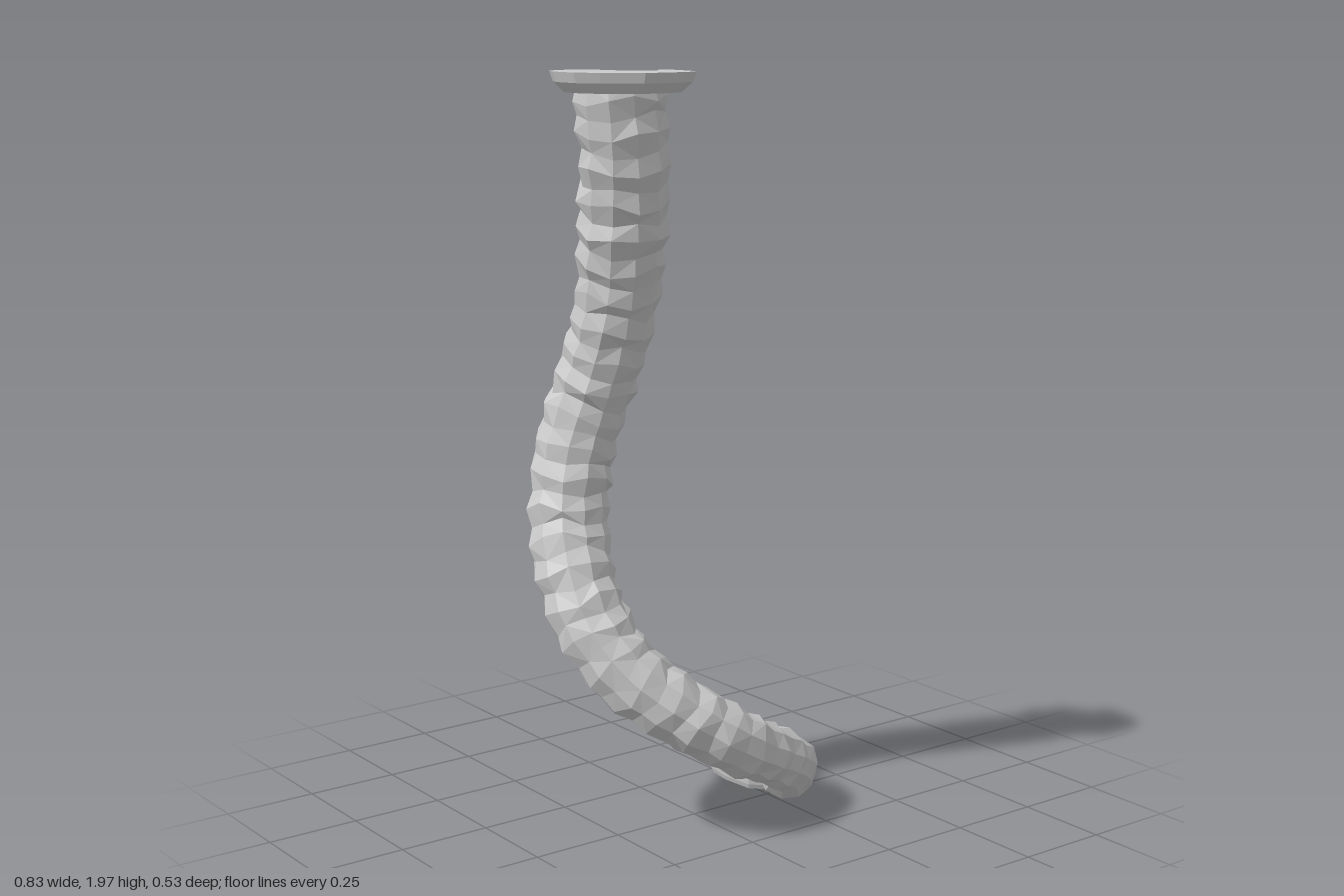
import * as THREE from 'three';

const material = new THREE.MeshStandardMaterial({ color: 0xcccccc, flatShading: true, side: THREE.DoubleSide });

// centre line from top to foot: x, y, z, radius
const path = [
  [-0.26, 1.985, 0.04, 0.108], [-0.235, 1.8, 0.025, 0.112], [-0.21, 1.6, -0.02, 0.112],
  [-0.2, 1.4, -0.07, 0.104], [-0.225, 1.2, -0.13, 0.104], [-0.27, 1.02, -0.16, 0.104],
  [-0.3, 0.85, -0.14, 0.102], [-0.315, 0.7, -0.078, 0.1], [-0.3, 0.58, -0.01, 0.098],
  [-0.25, 0.48, 0.06, 0.094], [-0.15, 0.385, 0.135, 0.09], [-0.02, 0.295, 0.183, 0.086],
  [0.1, 0.23, 0.17, 0.08], [0.21, 0.17, 0.125, 0.078], [0.285, 0.105, 0.04, 0.078],
  [0.31, 0.07, -0.05, 0.068], [0.31, 0.06, -0.14, 0.04],
];

function seeded(seed) {
  return () => (seed = (seed * 16807) % 2147483647) / 2147483647;
}

// Gnarled trunk: overlapping uneven collars swept along the centre line
function trunkGeometry() {
  const sides = 11, rings = 60, rand = seeded(71);
  const curve = new THREE.CatmullRomCurve3(path.map(p => new THREE.Vector3(p[0], p[1], p[2])));
  const frames = curve.computeFrenetFrames(rings, false);
  const positions = [], index = [];
  for (let i = 0; i <= rings; i++) {
    const u = i / rings;
    const centre = curve.getPointAt(u);
    const t = curve.getUtoTmapping(u) * (path.length - 1);
    const k = Math.min(Math.floor(t), path.length - 2);
    const radius = THREE.MathUtils.lerp(path[k][3], path[k + 1][3], t - k);
    const inner = i > 0 && i < rings;
    for (let j = 0; j < sides; j++) {
      const a = (j / sides) * Math.PI * 2;
      const collar = i % 2 ? 1.05 : 0.96;
      const r = radius * (collar + (rand() - 0.5) * 0.09);
      const slide = inner ? 0.009 * Math.sin(3 * a + Math.floor(i / 2) * 1.7) + (rand() - 0.5) * 0.012 : 0;
      const p = centre.clone()
        .addScaledVector(frames.normals[i], Math.cos(a) * r)
        .addScaledVector(frames.binormals[i], Math.sin(a) * r)
        .addScaledVector(frames.tangents[i], slide);
      // underside is cut off where it meets the foot
      const floor = THREE.MathUtils.clamp((0.05 - p.z) * 1.1, 0, 0.055);
      p.y = Math.min(Math.max(p.y, floor), 1.985);
      positions.push(p.x, p.y, p.z);
    }
  }
  for (let i = 0; i < rings; i++) {
    for (let j = 0; j < sides; j++) {
      const a = i * sides + j, b = i * sides + (j + 1) % sides;
      const c = a + sides, d = b + sides;
      if ((i + j) % 2) index.push(a, b, c, b, d, c);
      else index.push(a, b, d, a, d, c);
    }
  }
  // end caps
  const last = rings * sides;
  for (let j = 1; j < sides - 1; j++) {
    index.push(0, j + 1, j, last, last + j, last + j + 1);
  }
  const geometry = new THREE.BufferGeometry();
  geometry.setAttribute('position', new THREE.Float32BufferAttribute(positions, 3));
  geometry.setIndex(index);
  geometry.computeVertexNormals();
  return geometry;
}

// Flat plate from an x/z outline, drawn in towards a centre at its lower edge
function plate(name, outline, top, depth, centre, taper) {
  const shape = new THREE.Shape(outline.map(([x, z]) => new THREE.Vector2(x, z)));
  const geometry = new THREE.ExtrudeGeometry(shape, { depth, steps: 2, bevelEnabled: false });
  geometry.rotateX(Math.PI / 2).translate(0, top, 0);
  const pos = geometry.attributes.position;
  for (let i = 0; i < pos.count; i++) {
    const down = (top - pos.getY(i)) / depth;
    const s = 1 - taper * down * down;
    pos.setX(i, centre[0] + (pos.getX(i) - centre[0]) * s);
    pos.setZ(i, centre[1] + (pos.getZ(i) - centre[1]) * s);
  }
  geometry.computeVertexNormals();
  const mesh = new THREE.Mesh(geometry, material);
  mesh.name = name;
  return mesh;
}

export function createModel() {
  const group = new THREE.Group();
  group.name = 'twistedTrunk';

  const trunk = new THREE.Mesh(trunkGeometry(), material);
  trunk.name = 'trunk';
  group.add(trunk);

  // flared top rim with a hooked notch
  group.add(plate('topRim', [
    [-0.41, -0.02], [-0.41, 0.07], [-0.37, 0.12], [-0.29, 0.195], [-0.17, 0.2], [-0.12, 0.17],
    [-0.11, 0.07], [-0.13, 0.03], [-0.165, 0.07], [-0.215, 0.07], [-0.245, 0.03], [-0.245, -0.02],
    [-0.28, -0.085], [-0.3, -0.095], [-0.35, -0.095], [-0.39, -0.065],
  ], 2, 0.05, [-0.26, 0.045], 0.2));

  // flat foot at the lower end
  group.add(plate('foot', [
    [0.2, -0.02], [0.19, -0.12], [0.2, -0.19], [0.25, -0.245], [0.31, -0.245], [0.35, -0.22],
    [0.38, -0.16], [0.41, -0.11], [0.41, -0.05], [0.385, 0.01], [0.34, 0.05], [0.26, 0.04],
  ], 0.075, 0.027, [0.3, -0.1], 0.06));

  return group;
}
